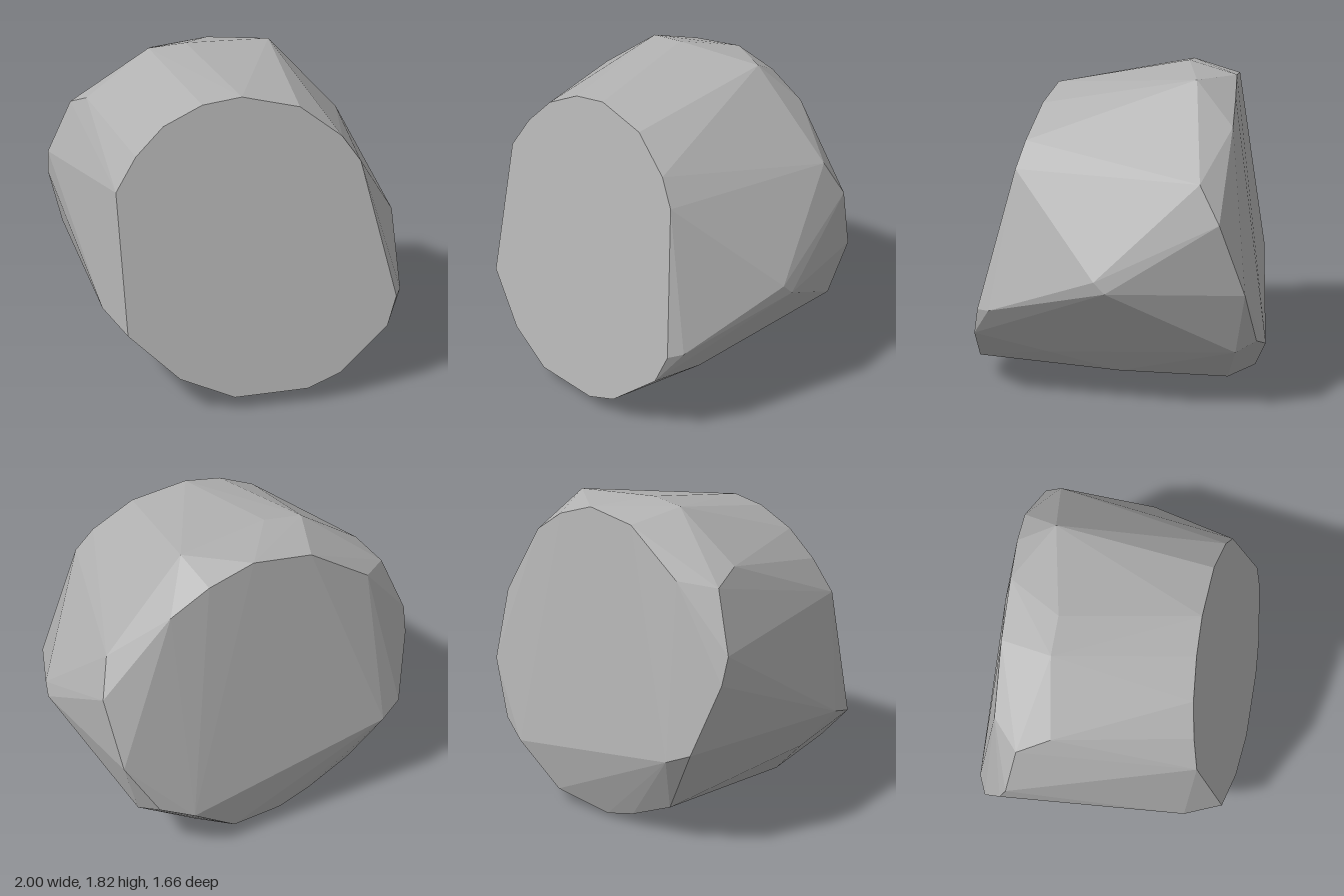
import * as THREE from 'three';
import { ConvexGeometry } from 'three/addons/geometries/ConvexGeometry.js';

// Faceted boulder: the convex hull of a flat front, a flat back and a rounded waist.
export function createModel() {
  const group = new THREE.Group();
  group.name = 'boulder';
  const stone = new THREE.MeshStandardMaterial({ color: 0xb0b0b0, flatShading: true });
  stone.name = 'grey stone';

  // Flat sloping front facet: outline in x, y; depth follows its plane
  const front = [
    [-0.05, 1.70], [0.27, 1.63], [0.50, 1.46], [0.60, 1.32], [0.77, 0.56],
    [0.71, 0.40], [0.42, 0.16], [0.23, 0.09], [-0.19, 0.08], [-0.49, 0.21],
    [-0.76, 0.47], [-0.77, 1.24], [-0.65, 1.42], [-0.49, 1.57], [-0.27, 1.67],
  ].map(([x, y]) => [x, y, 0.837 + 0.055 * x - 0.243 * y]);

  // Rim of the back facet
  const back = [
    [0.01, 1.77, -0.62], [0.27, 1.69, -0.63], [0.49, 1.56, -0.63], [0.87, 1.11, -0.59],
    [0.82, 0.715, -0.73], [0.64, 0.40, -0.79], [0.45, 0.32, -0.835], [0.17, 0.085, -0.77],
    [-0.78, 0.56, -0.775], [-0.91, 0.62, -0.72], [-1.0, 1.0, -0.585], [-1.0, 1.15, -0.54],
    [-0.69, 1.50, -0.62], [-0.33, 1.73, -0.62],
  ];

  // Crown and shoulders
  const crown = [
    [-0.79, 1.54, -0.30], [-0.41, 1.80, -0.34], [-0.19, 1.82, -0.33],
    [0.34, 1.79, -0.42], [0.80, 1.31, -0.48], [-0.86, 1.47, -0.48],
  ];

  // Bulging flanks
  const flanks = [
    [1.0, 0.75, 0], [0.99, 0.81, 0.06], [0.82, 0.57, 0.67], [0.73, 0.36, -0.68],
    [0.66, 0.29, 0.37], [-0.86, 0.55, 0.46], [-0.72, 0.33, 0.33], [-0.65, 0.21, -0.63],
  ];

  // Underside
  const base = [
    [0.49, 0.13, -0.01], [0.35, 0.07, -0.62], [0.08, 0.01, 0.12], [-0.15, 0, 0.12],
    [0, 0.02, 0.59], [-0.41, 0.05, 0.45], [-0.17, 0.02, -0.68], [-0.37, 0.08, -0.66],
  ];

  const points = [...front, ...back, ...crown, ...flanks, ...base]
    .map((p) => new THREE.Vector3(...p));
  const rock = new THREE.Mesh(new ConvexGeometry(points), stone);
  rock.name = 'rock';
  group.add(rock);
  return group;
}
